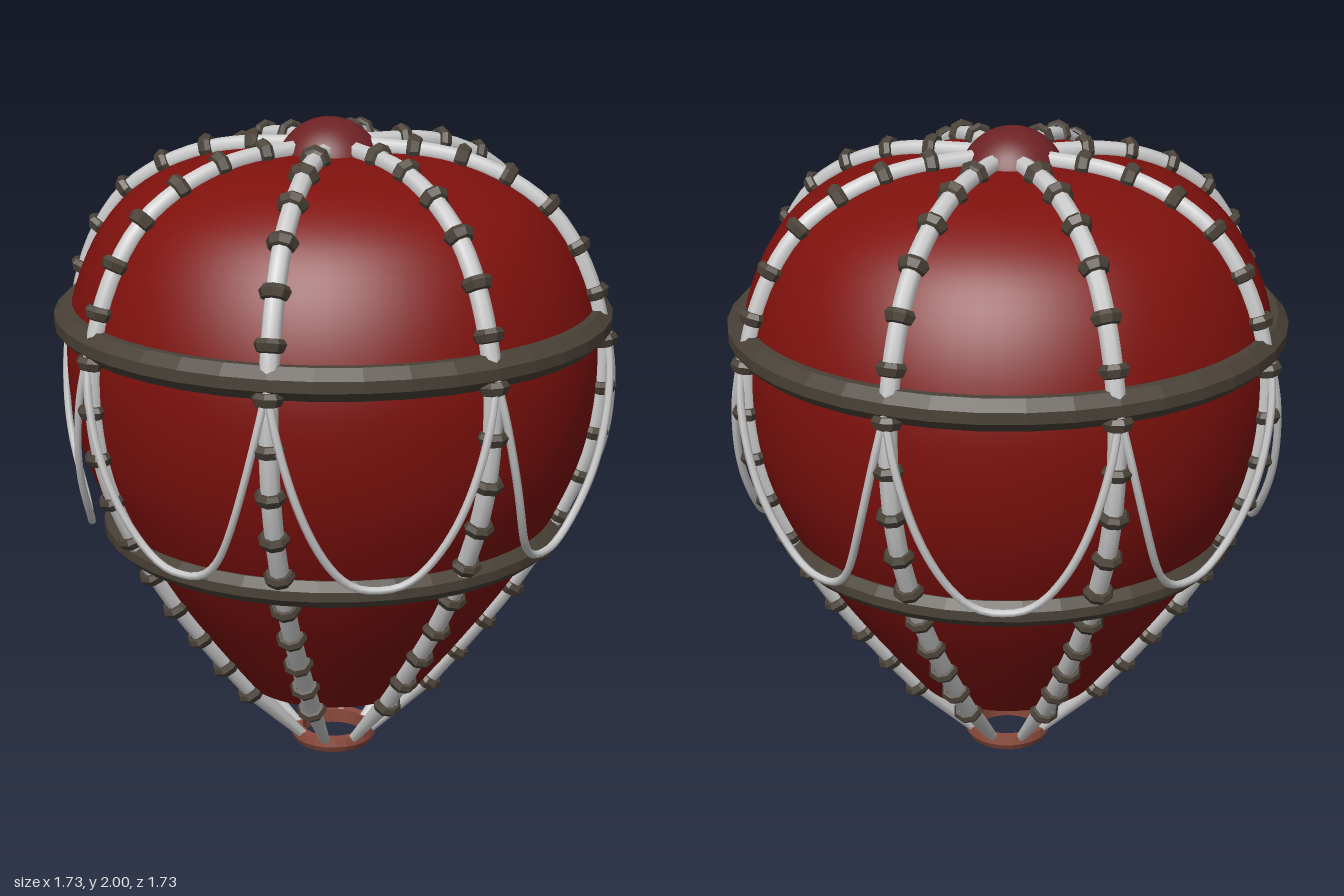
import * as THREE from 'three';

const mat = (color, extra = {}) => {
  const m = new THREE.MeshStandardMaterial({ color });
  return Object.assign(m, extra);
};
const RED = mat(0x7f110d, { side: THREE.DoubleSide });
const BAND = mat(0x4a4238, { flatShading: true });
const CAP = mat(0x6e2224);
const COPPER = mat(0x8a4a3c, { flatShading: true });
const ROPE = mat(0xcccccc);

// Envelope outline: radius, height
const OUTLINE = [
  [0.29, 0.23], [0.43, 0.41], [0.565, 0.6], [0.69, 0.82], [0.77, 1.02], [0.803, 1.22],
  [0.798, 1.4], [0.74, 1.59], [0.64, 1.74], [0.5, 1.835], [0.33, 1.89], [0.11, 1.905],
];
const outline = new THREE.CatmullRomCurve3(OUTLINE.map(([r, y]) => new THREE.Vector3(r, y, 0)));

function add(parent, name, geometry, material) {
  const mesh = new THREE.Mesh(geometry, material);
  mesh.name = name;
  parent.add(mesh);
  return mesh;
}

const lathe = (points, segments) =>
  new THREE.LatheGeometry(points.map(([r, y]) => new THREE.Vector2(r, y)), segments);

// Radius of the envelope at a given height
function radiusAt(y) {
  let lo = 0, hi = 1;
  for (let i = 0; i < 24; i++) {
    const mid = (lo + hi) / 2;
    if (outline.getPoint(mid).y < y) lo = mid; else hi = mid;
  }
  return outline.getPoint(lo).x;
}

// Point and tangent on the outline, pushed outward along the normal
function onOutline(u, out) {
  const t = outline.getTangentAt(u);
  const p = outline.getPointAt(u);
  p.x += t.y * out;
  p.y -= t.x * out;
  return { p, t };
}

// Bevelled hoop around the envelope
function hoop(parent, name, inner, shoulder, outer, y0, y1) {
  const b = (y1 - y0) * 0.32;
  add(parent, name, lathe([
    [inner, y0], [shoulder, y0], [outer, y0 + b], [outer, y1 - b],
    [shoulder, y1], [inner, y1], [inner, y0],
  ], 40), BAND);
}

// One vertical rope with its collars and the stay down to the mouth ring
function ropeLine(collar) {
  const g = new THREE.Group();
  g.name = 'ropeLine';
  const pts = [];
  for (let i = 0; i <= 30; i++) pts.push(onOutline(i / 30, 0.008).p);
  add(g, 'rope', new THREE.TubeGeometry(new THREE.CatmullRomCurve3(pts), 48, 0.029, 8), ROPE);

  const top = pts[0], foot = new THREE.Vector3(0.112, 0.03, 0);
  const dir = top.clone().sub(foot);
  const stay = add(g, 'stay', new THREE.CylinderGeometry(0.028, 0.015, dir.length(), 8), ROPE);
  stay.position.copy(top).add(foot).multiplyScalar(0.5);
  stay.quaternion.setFromUnitVectors(new THREE.Vector3(0, 1, 0), dir.normalize());

  const count = Math.round(outline.getLength() / 0.14);
  for (let i = 0; i < count; i++) {
    const { p, t } = onOutline(i / count + 0.003, 0.012);
    const ring = add(g, 'collar', collar, BAND);
    ring.position.copy(p);
    ring.rotation.z = Math.atan2(-t.x, t.y);
  }
  return g;
}

// Hanging cord between two neighbouring ropes
function swag() {
  const pts = [];
  for (let i = 0; i <= 24; i++) {
    const t = i / 12 - 1;
    const y = 0.795 + 0.6 * Math.pow(Math.abs(t), 2.7);
    const r = radiusAt(y) + 0.03 + 0.045 * (1 - t * t);
    const a = (t * Math.PI) / 8;
    pts.push(new THREE.Vector3(r * Math.cos(a), y, r * Math.sin(a)));
  }
  return new THREE.TubeGeometry(new THREE.CatmullRomCurve3(pts), 48, 0.012, 6);
}

export function createModel() {
  const model = new THREE.Group();
  model.name = 'balloon';

  // Envelope, its open mouth and the crown
  const skin = outline.getPoints(44).map((p) => [p.x, p.y]);
  add(model, 'envelope', lathe([...skin, [0, 1.906]], 64), RED);
  add(model, 'mouthLip', lathe([[0.25, 0.3], [0.235, 0.23], [0.29, 0.23]], 64), RED);
  const cap = add(model, 'crownCap', new THREE.SphereGeometry(0.16, 32, 16, 0, Math.PI * 2, 0, Math.PI / 2), CAP);
  cap.position.set(-0.015, 1.84, 0);

  // Hoops
  hoop(model, 'upperHoop', 0.76, 0.81, 0.84, 1.365, 1.46);
  hoop(model, 'lowerHoop', 0.61, 0.685, 0.71, 0.72, 0.8);

  // Mouth ring
  add(model, 'mouthRing', lathe([
    [0.1, 0], [0.125, 0], [0.135, 0.02], [0.13, 0.045], [0.1, 0.045], [0.1, 0],
  ], 24), COPPER);

  // Ropes and swags, repeated eight times around
  const collar = lathe([[0.028, -0.02], [0.038, -0.016], [0.047, 0.006], [0.038, 0.02], [0.028, 0.02]], 8);
  const swagGeometry = swag();
  for (let i = 0; i < 8; i++) {
    const line = ropeLine(collar);
    line.rotation.y = (i * Math.PI) / 4;
    model.add(line);
    add(model, 'swag', swagGeometry, ROPE).rotation.y = ((i + 0.5) * Math.PI) / 4;
  }
  return model;
}
